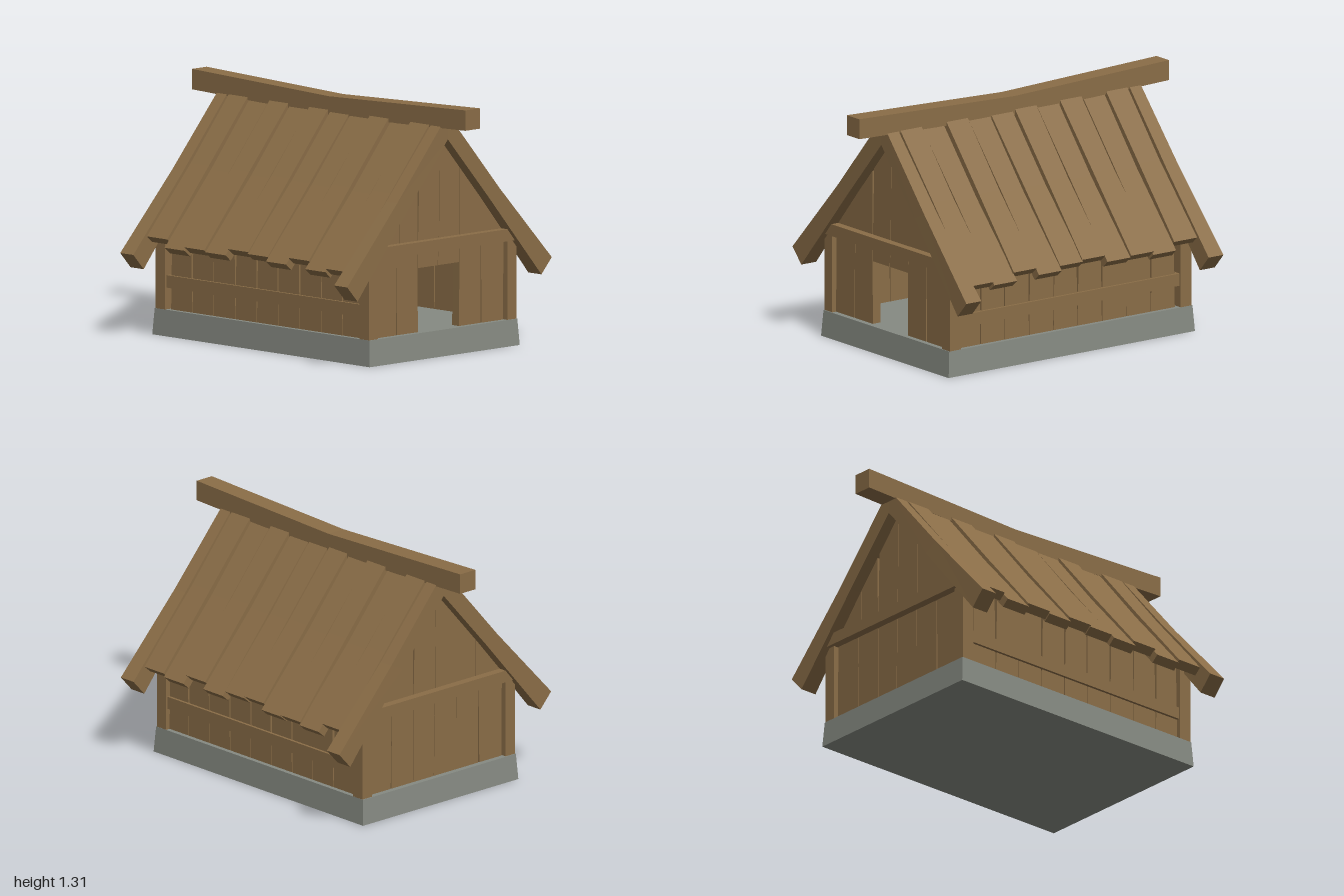
import * as THREE from 'three';

const wood = new THREE.MeshStandardMaterial({ color: 0x8a6d47, flatShading: true });
const stone = new THREE.MeshStandardMaterial({ color: 0x868a82, flatShading: true });

// Closed solid through four-cornered sections (corners counter-clockwise seen from the far end)
function loft(sections) {
  const pos = [];
  const quad = (a, b, c, d) => pos.push(...a, ...b, ...c, ...a, ...c, ...d);
  for (let i = 0; i < sections.length - 1; i++) {
    const s = sections[i], e = sections[i + 1];
    for (let j = 0; j < 4; j++) quad(s[j], s[(j + 1) % 4], e[(j + 1) % 4], e[j]);
  }
  const f = sections[0], l = sections[sections.length - 1];
  quad(f[3], f[2], f[1], f[0]);
  quad(l[0], l[1], l[2], l[3]);
  const g = new THREE.BufferGeometry();
  g.setAttribute('position', new THREE.Float32BufferAttribute(pos, 3));
  g.computeVertexNormals();
  return g;
}

function add(parent, name, geometry, material = wood) {
  const m = new THREE.Mesh(geometry, material);
  m.name = name;
  parent.add(m);
  return m;
}

function box(parent, name, x0, x1, y0, y1, z0, z1) {
  const m = add(parent, name, new THREE.BoxGeometry(x1 - x0, y1 - y0, z1 - z0));
  m.position.set((x0 + x1) / 2, (y0 + y1) / 2, (z0 + z1) / 2);
}

// Horizontal rectangle for solids lofted upward
const level = (y, x0, x1, z0, z1) => [[x1, y, z1], [x1, y, z0], [x0, y, z0], [x0, y, z1]];

// Sloping roof board; each point is [outerX, outerY, innerX, innerY, zMin, zMax]
function slopeBoard(parent, name, side, points) {
  add(parent, name, loft(points.map(([ox, oy, ix, iy, z0, z1]) => {
    const s = [[side * ix, iy, z0], [side * ox, oy, z0], [side * ox, oy, z1], [side * ix, iy, z1]];
    return side > 0 ? s : s.reverse();
  })));
}

const roofY = (x) => 1.15 - 1.13 * Math.abs(x);

function gableBoard(parent, name, corners) {
  const shape = new THREE.Shape(corners.map(([x, y]) => new THREE.Vector2(x, y)));
  const g = new THREE.ExtrudeGeometry(shape, { depth: 0.05, bevelEnabled: false });
  add(parent, name, g).position.z = 0.705;
}

// End wall facing +z, with or without the doorway
function gableWall(withDoor) {
  const wall = new THREE.Group();
  wall.name = withDoor ? 'frontWall' : 'backWall';
  // Lower boards: left and right at the bottom, then at the top
  const lower = [
    [-0.468, -0.313, -0.462, -0.306], [-0.307, -0.155, -0.304, -0.157],
    [-0.152, -0.012, -0.152, -0.007], [-0.01, 0.143, -0.003, 0.145],
    [0.143, 0.298, 0.147, 0.297], [0.307, 0.462, 0.301, 0.464],
  ];
  for (const [a, b, c, d] of lower) {
    const y = withDoor && a > -0.2 && b < 0.2 ? 0.47 : 0.13;
    gableBoard(wall, 'lowerBoard', [[a, y], [b, y], [d, 0.58], [c, 0.58]]);
  }
  // Upper boards cut to the roof slope
  const upper = [
    [-0.49, -0.353, -0.353], [-0.352, -0.286, -0.286], [-0.285, -0.157, -0.159], [-0.154, -0.004, 0.002],
    [-0.001, 0.147, 0.147], [0.149, 0.281, 0.281], [0.282, 0.349, 0.349], [0.35, 0.49, 0.49],
  ];
  for (const [a, b, top] of upper) {
    const start = a === -0.154 ? -0.143 : a === -0.001 ? 0.004 : a;
    gableBoard(wall, 'upperBoard', [[a, 0.58], [b, 0.58], [top, roofY(top)], [start, roofY(start)]]);
  }
  box(wall, 'crossBeam', -0.525, 0.525, 0.55, 0.613, 0.74, 0.8);
  if (!withDoor) wall.rotation.y = Math.PI;
  return wall;
}

// Long wall of vertical boards with a rail
function sideWall(side) {
  const wall = new THREE.Group();
  wall.name = side > 0 ? 'leftWall' : 'rightWall';
  const x0 = side > 0 ? 0.465 : -0.51, x1 = x0 + 0.045;
  for (let i = 0; i < 9; i++) {
    const z = -0.69 + i * 0.157, end = i === 8 ? 0.71 : z + 0.154;
    const skew = 0.004 * Math.sin(i * 2.3), gap = 0.004 + 0.004 * Math.cos(i * 1.7);
    add(wall, 'wallBoard', loft([
      level(0.13, x0, x1, z, end), level(0.57, x0, x1, z + gap + skew, end - gap + skew),
    ]));
  }
  const r = side > 0 ? 0.49 : -0.525;
  box(wall, 'rail', r, r + 0.035, 0.25, 0.315, -0.71, 0.71);
  return wall;
}

export function createModel() {
  const hut = new THREE.Group();
  hut.name = 'woodenHut';

  add(hut, 'foundation', loft([
    level(0, -0.543, 0.543, -0.795, 0.795), level(0.137, -0.535, 0.535, -0.785, 0.785),
  ]), stone);

  for (const x of [-1, 1]) for (const z of [-1, 1]) {
    const cx = x * 0.501, cz = z * 0.745;
    box(hut, 'cornerPost', cx - 0.033, cx + 0.033, 0.13, 0.57, cz - 0.035, cz + 0.035);
  }
  hut.add(gableWall(true), gableWall(false), sideWall(1), sideWall(-1));

  // Roof boards with uneven eaves and a slight waist
  const ends = [0.64, 0.66, 0.66, 0.655, 0.64, 0.64, 0.655, 0.64, 0.66, 0.66];
  const lifts = [0.006, -0.012, 0.006, -0.01, 0.004, -0.006, -0.01, 0.006, -0.012, 0.006];
  const nx = 0.755, ny = 0.656, thick = 0.05;
  for (const side of [-1, 1]) {
    const roof = new THREE.Group();
    roof.name = side > 0 ? 'leftRoof' : 'rightRoof';
    hut.add(roof);
    ends.forEach((endX, i) => {
      const z = -0.662 + i * 0.1475;
      const board = [[0.02, 0.069], [0.33, 0.066], [endX, 0.074]].map(([x, half], k) => {
        const y = 1.236 - (x - 0.02) * 1.155 + lifts[i] - (k === 1 ? 0.008 : 0);
        const zc = z + (k - 1) * 0.003 * Math.sin(i * 2.1);
        return [x, y, x - nx * thick, y - ny * thick, zc - half, zc + half];
      });
      // Plumb cut where the boards meet under the ridge
      board[0][2] = 0.001;
      board[0][3] = board[0][1] - 0.06;
      slopeBoard(roof, 'roofBoard', side, board);
    });
    // Heavy boards along the gable edges
    for (const z of [-0.782, 0.782]) slopeBoard(roof, 'bargeBoard', side, [
      [0, 1.262, 0, 1.13, z - 0.036, z + 0.036],
      [0.37, 0.838, 0.29, 0.8, z - 0.04, z + 0.04],
      [0.74, 0.44, 0.665, 0.358, z - 0.048, z + 0.048],
    ]);
  }

  // Sagging ridge beam
  add(hut, 'ridgeBeam', loft([[-1, 1.2, 1.306], [0, 1.17, 1.272], [1, 1.2, 1.306]].map(
    ([z, b, t]) => [[0.053, b, z], [0.053, t, z], [-0.053, t, z], [-0.053, b, z]])));

  return hut;
}
